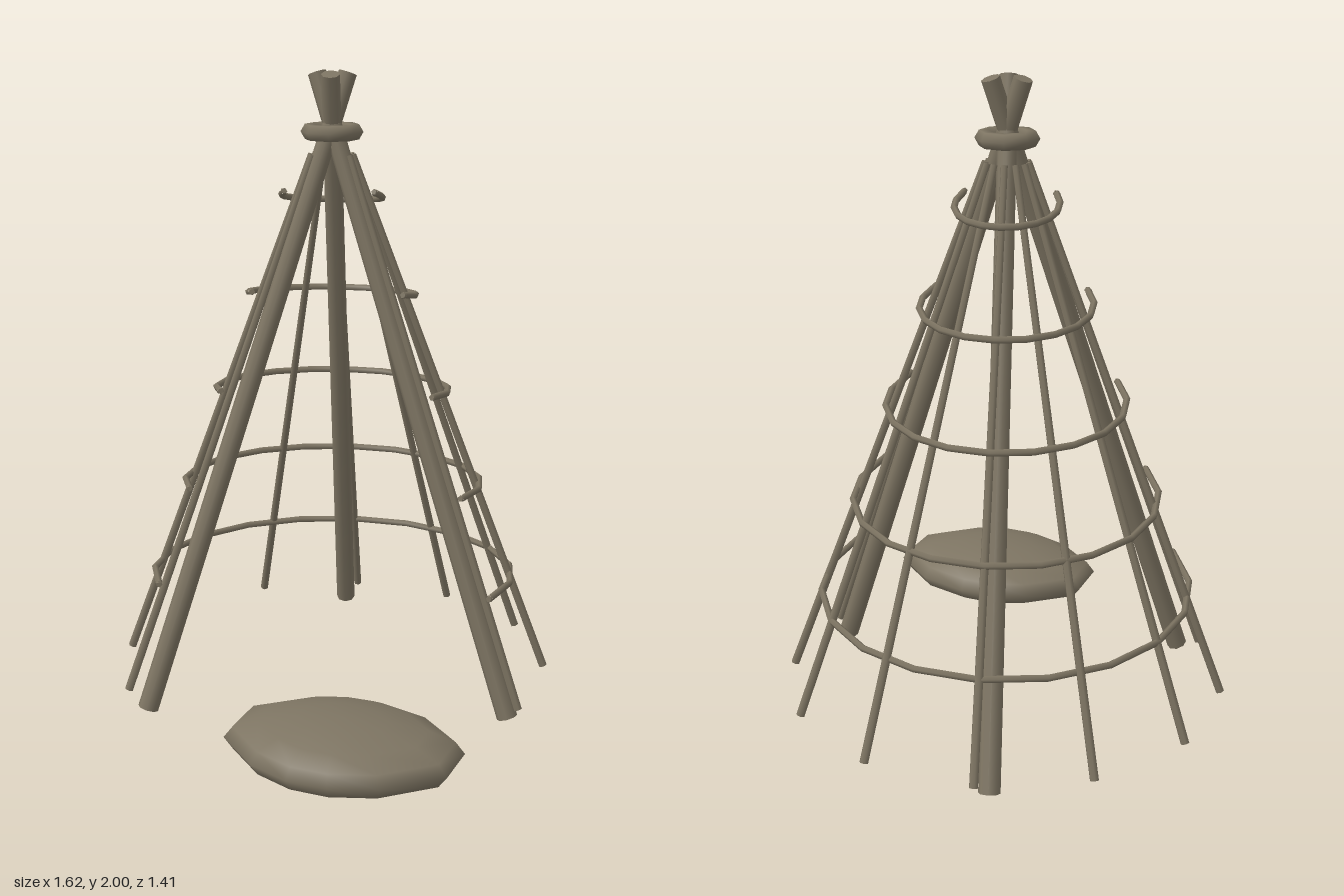
import * as THREE from 'three';
import { mergeVertices } from 'three/addons/utils/BufferGeometryUtils.js';

const CX = -0.125, CZ = -0.015; // axis of the frame
const DEG = Math.PI / 180;

// Point around the frame axis; angle runs from +x towards the back (-z)
const polar = (deg, r, y) =>
  new THREE.Vector3(CX + r * Math.cos(deg * DEG), y, CZ - r * Math.sin(deg * DEG));

export function createModel() {
  const model = new THREE.Group();
  const wood = new THREE.MeshStandardMaterial({ color: 0x7d7462 });
  wood.name = 'weathered wood';

  function add(name, geometry, parent = model) {
    const mesh = new THREE.Mesh(geometry, wood);
    mesh.name = name;
    parent.add(mesh);
    return mesh;
  }

  function group(name) {
    const g = new THREE.Group();
    g.name = name;
    model.add(g);
    return g;
  }

  // Round bar between two points
  function bar(name, from, to, rFrom, rTo, sides, parent) {
    const dir = to.clone().sub(from);
    const mesh = add(name, new THREE.CylinderGeometry(rTo, rFrom, dir.length(), sides), parent);
    mesh.position.copy(from).add(to).multiplyScalar(0.5);
    mesh.quaternion.setFromUnitVectors(new THREE.Vector3(0, 1, 0), dir.normalize());
  }

  // Three main poles, crossing just above the binding
  const poles = group('mainPoles');
  for (let i = 0; i < 3; i++) {
    const a = 17.5 + i * 120;
    bar('mainPole', polar(a, 0.66, 0.011), polar(a, -0.055, 1.988), 0.033, 0.029, 8, poles);
  }

  // Binding around the crossing
  const binding = add('binding', new THREE.TorusGeometry(0.071, 0.027, 6, 8));
  binding.rotation.x = Math.PI / 2;
  binding.position.set(CX, 1.81, CZ);

  // Thin ribs on the closed side, leaving an entrance at the front
  const START = 17, ARC = 234;
  const ribs = group('ribs');
  for (let i = 0; i < 9; i++) {
    const a = START + (ARC * i) / 8;
    bar('rib', polar(a, 0.7, 0.05), polar(a, 0.065, 1.74), 0.014, 0.011, 6, ribs);
  }

  // Horizontal hoops, sagging at the back
  const hoops = group('hoops');
  for (let k = 0; k < 5; k++) {
    const y = 0.342 + k * 0.309, r = 0.59 - k * 0.108;
    const path = new THREE.CurvePath();
    const points = [];
    for (let i = 0; i <= 12; i++) {
      const u = i / 6 - 1;
      points.push(polar(START + (ARC * i) / 12, r, y + 0.055 * u * u));
    }
    for (let i = 0; i < 12; i++) path.add(new THREE.LineCurve3(points[i], points[i + 1]));
    add('hoop', new THREE.TubeGeometry(new THREE.CatmullRomCurve3(points), 12, 0.011, 5), hoops);
    // end caps
    for (const [p, q] of [[points[0], points[1]], [points[12], points[11]]]) {
      const tip = p.clone().add(p.clone().sub(q).setLength(0.008));
      bar('hoopEnd', p, tip, 0.011, 0.009, 5, hoops);
    }
  }

  // Flattened bundle on the ground: a sphere fitted to an irregular outline
  const outline = [
    [-0.345, 0.10], [-0.265, 0.24], [-0.075, 0.28], [0.065, 0.26], [0.175, 0.20], [0.275, 0.09],
    [0.34, -0.10], [0.265, -0.24], [0.075, -0.28], [-0.095, -0.24], [-0.195, -0.18], [-0.275, -0.09],
  ];
  let blob = new THREE.SphereGeometry(1, 12, 8);
  const pos = blob.attributes.position;
  for (let i = 0; i < pos.count; i++) {
    const [ox, oz] = outline[(i % 13) % 12];
    const y = pos.getY(i), s = Math.sqrt(Math.max(0, 1 - y * y));
    pos.setXYZ(i, ox * s, y * 0.092, oz * s);
  }
  blob.deleteAttribute('uv');
  blob.deleteAttribute('normal');
  blob = mergeVertices(blob, 1e-4);
  blob.computeVertexNormals();
  add('groundBundle', blob).position.set(0.465, 0.102, 0.42);

  return model;
}
